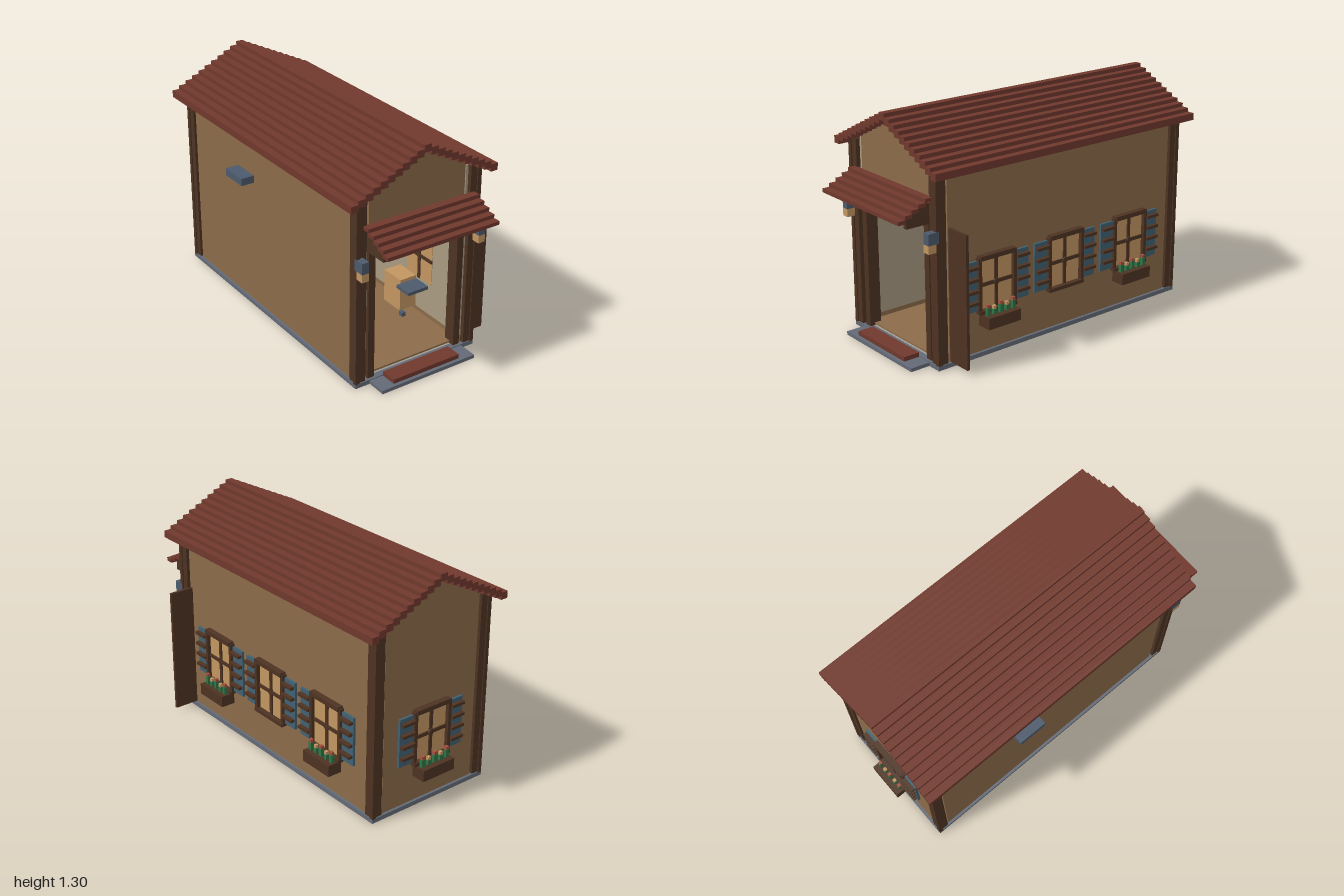
import * as THREE from 'three';

const mat = (name, color) => {
  const m = new THREE.MeshStandardMaterial({ color });
  m.name = name;
  return m;
};

export function createModel() {
  const M = {
    roof: mat('red brown tile', 0x70382c),
    wall: mat('brown plaster', 0x8c6b4a),
    lining: mat('beige plaster', 0xaa9b82),
    wood: mat('dark wood', 0x4d3322),
    glow: mat('warm pane', 0xc29661),
    shutter: mat('shutter blue', 0x416172),
    slate: mat('slate blue', 0x4c5a6c),
    stone: mat('grey stone', 0x646a76),
    leaf: mat('leaf green', 0x2f7446),
    bloom: mat('flower red', 0xa4523f),
  };
  const model = new THREE.Group();
  model.name = 'cottage';
  const house = new THREE.Group();
  house.name = 'house';
  house.position.set(-0.035, 0, -0.065);
  model.add(house);

  // box from its low and high limits on each axis
  const box = (parent, name, m, x0, x1, y0, y1, z0, z1) => {
    const mesh = new THREE.Mesh(new THREE.BoxGeometry(x1 - x0, y1 - y0, z1 - z0), m);
    mesh.position.set((x0 + x1) / 2, (y0 + y1) / 2, (z0 + z1) / 2);
    mesh.name = name;
    parent.add(mesh);
    return mesh;
  };
  // flat outline pushed along z
  const slab = (name, m, pts, z0, z1) => {
    const shape = new THREE.Shape(pts.map(p => new THREE.Vector2(p[0], p[1])));
    const g = new THREE.ExtrudeGeometry(shape, { depth: z1 - z0, bevelEnabled: false });
    const mesh = new THREE.Mesh(g, m);
    mesh.position.z = z0;
    mesh.name = name;
    house.add(mesh);
  };
  const slope = x => 1.275 - 0.497 * Math.abs(x);

  // foundation, floor and front step
  for (const s of [-1, 1]) {
    const side = [s * 0.39, s * 0.365].sort((a, b) => a - b);
    const end = [s * 0.865, s * 0.84].sort((a, b) => a - b);
    box(house, 'foundationSide', M.stone, side[0], side[1], 0, 0.025, -0.865, 0.865);
    box(house, 'foundationEnd', M.stone, -0.365, 0.365, 0, 0.025, end[0], end[1]);
  }
  box(house, 'floor', M.wall, -0.32, 0.32, 0.03, 0.04, -0.8, 0.82);
  box(house, 'frontStep', M.stone, -0.3, 0.305, 0, 0.02, 0.82, 0.98);
  box(house, 'doormat', M.roof, -0.215, 0.215, 0.02, 0.045, 0.865, 0.96);

  // side walls with lining, outer plaster and skirting
  for (const s of [-1, 1]) {
    const span = (a, b) => (s > 0 ? [a, b] : [-b, -a]);
    const inner = span(0.31, 0.365), outer = span(0.365, 0.375);
    box(house, 'sideLining', M.lining, ...inner, 0.065, 1.085, -0.835, 0.835);
    box(house, 'skirting', M.wall, ...inner, 0, 0.065, -0.835, 0.835);
    box(house, 'sideWall', M.wall, ...outer, 0.02, 1.075, -0.79, 0.785);
  }

  // back wall
  slab('backLining', M.lining, [[-0.365, 0.065], [0.365, 0.065], [0.365, slope(0.365)],
    [0, slope(0)], [-0.365, slope(0.365)]], -0.84, -0.79);
  slab('backWall', M.wall, [[-0.315, 0.02], [0.315, 0.02], [0.315, slope(0.315)],
    [0, slope(0)], [-0.315, slope(0.315)]], -0.85, -0.84);
  box(house, 'backSkirting', M.wall, -0.365, 0.365, 0, 0.065, -0.84, -0.79);

  // front wall around the doorway
  slab('frontLining', M.lining, [[-0.365, 0.025], [-0.27, 0.025], [-0.27, 0.79], [0.27, 0.79],
    [0.27, 0.025], [0.365, 0.025], [0.365, slope(0.365)], [0, slope(0)], [-0.365, slope(0.365)]],
    0.79, 0.83);
  slab('frontGable', M.wall, [[-0.3, 0.82], [0.3, 0.82], [0.3, slope(0.3)], [0, slope(0)],
    [-0.3, slope(0.3)]], 0.83, 0.84);

  // corner posts, each a square core with two set-back wings
  for (const sx of [-1, 1]) for (const sz of [-1, 1]) {
    const post = new THREE.Group();
    post.name = 'cornerPost';
    post.position.set(sx * 0.39, 0, sz * 0.865);
    post.scale.set(1, 1, 1);
    const part = (a, b, c, d) => {
      const x = [-sx * a, -sx * b].sort((p, q) => p - q);
      const z = [-sz * c, -sz * d].sort((p, q) => p - q);
      box(post, 'postPart', M.wood, x[0], x[1], 0.02, 1.088, z[0], z[1]);
    };
    part(0, 0.025, 0, 0.025);
    part(0.025, 0.065, 0.006, 0.04);
    part(0.006, 0.04, 0.025, 0.065);
    house.add(post);
  }

  // door frame, lintel and open door
  for (const s of [-1, 1]) {
    box(house, 'doorJamb', M.wood, s * 0.283 - 0.02, s * 0.283 + 0.02, 0.025, 0.79, 0.78, 0.85);
  }
  box(house, 'doorLintel', M.wood, -0.325, 0.325, 0.785, 0.85, 0.785, 0.865);
  box(house, 'openDoor', M.wood, 0.37, 0.52, 0.025, 0.762, 0.763, 0.78);

  // stepped roof courses
  for (let i = -10; i <= 10; i++) {
    const y = 1.305 - 0.0215 * Math.abs(i), w = 0.04333;
    box(house, 'roofCourse', M.roof, (i - 0.5) * w, (i + 0.5) * w, y - 0.04, y, -0.91, 0.91);
  }

  // awning over the door
  for (let i = 0; i < 5; i++) {
    const z = 1.065 - i * 0.041, y = 0.83 + i * 0.021;
    box(house, 'awningSlat', M.roof, -0.345, 0.35, y, y + 0.021, z - 0.046, z);
  }
  for (const s of [-1, 1]) {
    box(house, 'awningBracket', M.wood, s * 0.313 - 0.012, s * 0.313 + 0.012, 0.79, 0.868, 0.86, 1.0);
    box(house, 'awningBracketTop', M.wood, s * 0.313 - 0.012, s * 0.313 + 0.012, 0.868, 0.9, 0.86, 0.94);
    // wall lamps
    box(house, 'lampCap', M.slate, s * 0.37 - 0.021, s * 0.37 + 0.021, 0.7, 0.762, 0.85, 0.915);
    box(house, 'lampGlass', M.glow, s * 0.37 - 0.021, s * 0.37 + 0.021, 0.655, 0.7, 0.866, 0.915);
  }

  // vent on the blank side
  box(house, 'wallVent', M.slate, -0.455, -0.37, 0.782, 0.825, -0.31, -0.14);

  // counter inside the doorway
  box(house, 'counterBody', M.glow, 0.2, 0.31, 0.065, 0.26, 0.3, 0.45);
  box(house, 'counterTop', M.slate, 0.175, 0.31, 0.22, 0.24, 0.45, 0.56);
  box(house, 'counterFoot', M.slate, 0.195, 0.22, 0.04, 0.065, 0.45, 0.48);

  // window with shutters, facing +z with the wall surface at z = 0
  const makeWindow = (x, z, turn, planter) => {
    const w = new THREE.Group();
    w.name = 'window';
    w.position.set(x, 0, z);
    w.rotation.y = turn;
    box(w, 'pane', M.glow, -0.11, 0.11, 0.26, 0.548, -0.068, 0.006);
    box(w, 'mullion', M.wood, -0.01, 0.01, 0.26, 0.548, -0.074, 0.014);
    box(w, 'transom', M.wood, -0.11, 0.11, 0.393, 0.413, -0.074, 0.014);
    const boss = box(w, 'crossBoss', M.wood, -0.016, 0.016, 0.387, 0.419, -0.076, 0.018);
    boss.rotation.z = Math.PI / 4;
    box(w, 'lintel', M.wood, -0.118, 0.118, 0.545, 0.57, 0, 0.035);
    box(w, 'sill', M.wood, -0.125, 0.125, 0.245, 0.265, 0, 0.035);
    for (const s of [-1, 1]) {
      box(w, 'frameSide', M.wood, s * 0.117 - 0.01, s * 0.117 + 0.01, 0.255, 0.56, 0, 0.028);
      box(w, 'shutter', M.shutter, s * 0.172 - 0.046, s * 0.172 + 0.046, 0.265, 0.545, 0, 0.014);
      for (let i = 0; i < 4; i++) {
        const y = 0.31 + i * 0.0655;
        box(w, 'shutterSlat', M.wood, s * 0.17 - 0.043, s * 0.17 + 0.043, y, y + 0.016, 0.01, 0.038);
      }
    }
    if (planter) {
      box(w, 'planter', M.wood, -0.108, 0.108, 0.175, 0.24, 0, 0.085);
      for (let i = 0; i < 5; i++) {
        const fx = -0.085 + i * 0.0425, h = i % 2 ? 0.27 : 0.285;
        box(w, 'flowerStem', M.leaf, fx - 0.01, fx + 0.01, 0.24, h, 0.036, 0.056);
        box(w, 'flowerHead', i % 2 ? M.glow : M.bloom, fx - 0.009, fx + 0.009, h, h + 0.018, 0.037, 0.055);
      }
    }
    house.add(w);
  };
  makeWindow(0.375, 0.48, Math.PI / 2, true);
  makeWindow(0.375, 0, Math.PI / 2, false);
  makeWindow(0.375, -0.485, Math.PI / 2, true);
  makeWindow(0, -0.85, Math.PI, true);

  return model;
}
